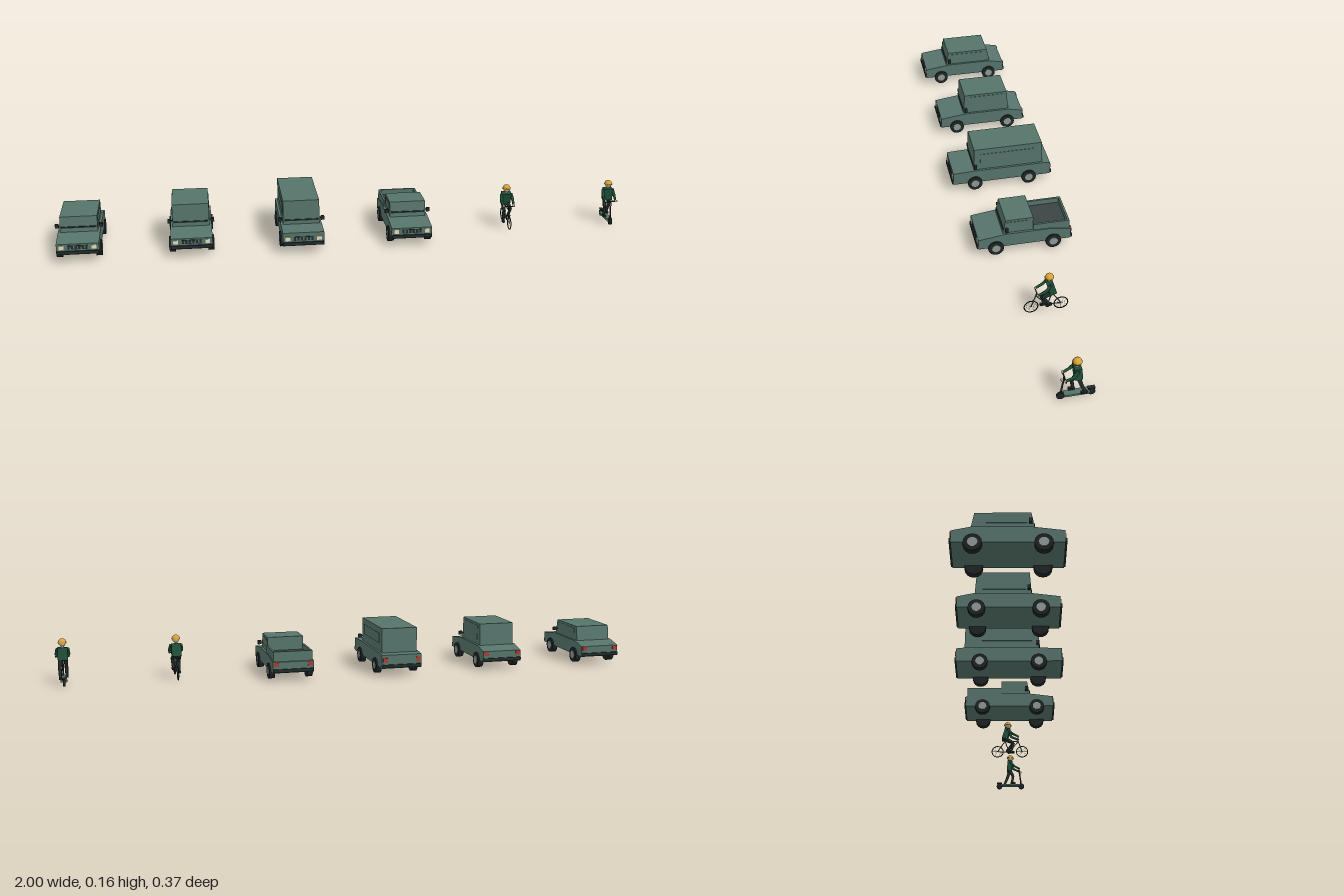
import * as THREE from 'three';

const mat = (name, color) => {
  const m = new THREE.MeshStandardMaterial({ color });
  m.name = name;
  return m;
};
const body = mat('bodyGreen', 0x56746b), trim = mat('darkTrim', 0x232c2b), tyreMat = mat('tyre', 0x1e2424);
const hubMat = mat('hubGrey', 0x8f9a95), bedMat = mat('bedLiner', 0x3a4543), lamp = mat('headlight', 0xe6dfbf);
const red = mat('tailLight', 0xb23a30), yellow = mat('helmetYellow', 0xd8a53a);
const skin = mat('skin', 0xd8b898), jacket = mat('jacketGreen', 0x1f5039);

function add(parent, name, geo, material, x = 0, y = 0, z = 0) {
  const m = new THREE.Mesh(geo, material);
  m.name = name;
  m.position.set(x, y, z);
  parent.add(m);
  return m;
}
const box = (p, name, m, w, h, d, x, y, z) => add(p, name, new THREE.BoxGeometry(w, h, d), m, x, y, z);

// Side outline given as [z, y] points, extruded across the width
function sideProfile(p, name, m, pts, width) {
  const shape = new THREE.Shape(pts.map(([z, y]) => new THREE.Vector2(z, y)));
  const g = new THREE.ExtrudeGeometry(shape, { depth: width, bevelEnabled: false });
  return add(p, name, g.rotateY(-Math.PI / 2).translate(width / 2, 0, 0), m);
}

// Round bar between two points
function bar(p, name, m, a, b, r, r2 = r) {
  const A = new THREE.Vector3(...a), B = new THREE.Vector3(...b);
  const mesh = add(p, name, new THREE.CylinderGeometry(r2, r, A.distanceTo(B), 8), m);
  mesh.position.copy(A).add(B).multiplyScalar(0.5);
  mesh.quaternion.setFromUnitVectors(new THREE.Vector3(0, 1, 0), B.sub(A).normalize());
  return mesh;
}

function vehicle(name, x, o) {
  const g = new THREE.Group();
  g.name = name;
  g.position.x = x;
  const L = o.half, [c0, c1] = o.cab, top = o.top, s = o.slope;
  // Lower body with gently falling hood and tail
  sideProfile(g, 'lowerBody', body,
    [[-L, 0.03], [L, 0.03], [L, o.nose], [c1, 0.08], [Math.min(c0, -0.09), 0.08], [-L, o.nose]], 0.142);
  // Cabin and windows
  sideProfile(g, 'cabin', body, [[c0, 0.079], [c1 + s, 0.079], [c1, top], [c0 + s * o.rearSlope, top]], 0.126);
  const wy0 = o.van ? 0.109 : 0.097, wy1 = o.van ? 0.144 : top - 0.008;
  for (const sx of [-1, 1]) {
    box(g, 'sideWindow', body, 0.002, wy1 - wy0, (c1 - c0) * 0.78, sx * 0.0635, (wy0 + wy1) / 2, (c0 + c1) / 2 + 0.006);
    box(g, 'mirrorArm', trim, 0.012, 0.003, 0.004, sx * 0.067, 0.098, c1 - 0.004);
    box(g, 'mirror', trim, 0.012, 0.013, 0.01, sx * 0.074, 0.098, c1 - 0.002);
    box(g, 'headlight', lamp, 0.016, 0.014, 0.004, sx * 0.054, 0.056, L + 0.001);
    box(g, 'tailLight', red, 0.016, 0.014, 0.004, sx * 0.059, 0.06, -L - 0.001);
    // Wheels
    for (const z of [-0.099, 0.1]) {
      add(g, 'tyre', new THREE.CylinderGeometry(0.027, 0.027, 0.02, 16).rotateZ(Math.PI / 2), tyreMat, sx * 0.066, 0.028, z);
      add(g, 'hub', new THREE.CylinderGeometry(0.015, 0.015, 0.002, 10).rotateZ(Math.PI / 2), hubMat, sx * 0.0765, 0.028, z);
    }
  }
  const strip = box(g, 'wiperStrip', trim, 0.118, 0.005, 0.004, 0, 0.095, c1 + s * 0.7 + 0.001);
  strip.name = 'wiperStrip';
  // Grille with upright bars
  box(g, 'grille', trim, 0.066, 0.014, 0.003, 0, 0.056, L + 0.0005);
  for (let i = -2; i <= 2; i++) box(g, 'grilleBar', body, 0.004, 0.011, 0.002, i * 0.012, 0.056, L + 0.002);
  // Bumpers
  for (const sz of [-1, 1]) box(g, 'bumper', trim, 0.14, 0.011, 0.008, 0, 0.038, sz * (L + 0.001));
  // Open cargo bed
  if (o.bed) {
    const zb = -L + 0.005, len = c0 - zb;
    for (const sx of [-1, 1]) box(g, 'bedSide', body, 0.007, 0.038, len, sx * 0.0645, 0.084, zb + len / 2);
    box(g, 'tailgate', body, 0.136, 0.038, 0.007, 0, 0.084, zb + 0.0035);
    box(g, 'bedFloor', bedMat, 0.122, 0.004, len - 0.007, 0, 0.082, zb + 0.0035 + len / 2);
  }
  return g;
}

// Helmeted person; all points are [x, y, z] for the right-hand limbs mirrored in x
function rider(g, hip, shoulder, hand, feet) {
  const [hy, hz] = hip, [sy, sz] = shoulder;
  const torso = box(g, 'torso', jacket, 0.033, Math.hypot(sy - hy, sz - hz) + 0.006, 0.022, 0, (hy + sy) / 2, (hz + sz) / 2);
  torso.rotation.x = Math.atan2(sz - hz, sy - hy);
  bar(g, 'neck', skin, [0, sy, sz], [0, sy + 0.01, sz], 0.005);
  add(g, 'head', new THREE.SphereGeometry(0.012, 14, 10), skin, 0, sy + 0.018, sz + 0.001);
  add(g, 'helmet', new THREE.SphereGeometry(0.0142, 16, 8, 0, Math.PI * 2, 0, Math.PI / 2), yellow, 0, sy + 0.0195, sz);
  add(g, 'helmetBrim', new THREE.CylinderGeometry(0.0148, 0.0148, 0.002, 16), yellow, 0, sy + 0.0195, sz + 0.001);
  [-1, 1].forEach((sx, i) => {
    const elbow = [sx * 0.021, (sy + hand[0]) / 2 - 0.006, (sz + hand[1]) / 2 - 0.003];
    bar(g, 'upperArm', jacket, [sx * 0.018, sy - 0.002, sz], elbow, 0.0052);
    bar(g, 'forearm', jacket, elbow, [sx * 0.018, ...hand], 0.0045, 0.004);
    add(g, 'hand', new THREE.SphereGeometry(0.0045, 8, 6), skin, sx * 0.018, ...hand);
    const [ky, kz, fy, fz] = feet[i];
    bar(g, 'thigh', trim, [sx * 0.009, hy, hz], [sx * 0.011, ky, kz], 0.0075, 0.006);
    bar(g, 'shin', trim, [sx * 0.011, ky, kz], [sx * 0.011, fy, fz], 0.006, 0.0045);
    box(g, 'shoe', tyreMat, 0.009, 0.007, 0.02, sx * 0.011, fy, fz + 0.004);
  });
}

function cyclist(x) {
  const g = new THREE.Group();
  g.name = 'cyclist';
  g.position.x = x;
  // Wheels with spokes
  for (const z of [-0.049, 0.049]) {
    add(g, 'bicycleTyre', new THREE.TorusGeometry(0.0225, 0.0018, 6, 28).rotateY(Math.PI / 2), tyreMat, 0, 0.0245, z);
    for (let i = 0; i < 6; i++) {
      const a = i * Math.PI / 6, c = Math.cos(a) * 0.0225, s = Math.sin(a) * 0.0225;
      bar(g, 'spoke', hubMat, [0, 0.0245 - s, z - c], [0, 0.0245 + s, z + c], 0.0003);
    }
  }
  // Frame
  const crank = [0, 0.024, -0.004], seat = [0, 0.07, -0.019], head = [0, 0.068, 0.034];
  const rear = [0, 0.0245, -0.049], front = [0, 0.0245, 0.049];
  for (const [a, b] of [[crank, seat], [seat, head], [crank, head], [crank, rear], [seat, rear], [head, front]])
    bar(g, 'frameTube', body, a, b, 0.0019);
  bar(g, 'handlebarStem', trim, head, [0, 0.082, 0.031], 0.0018);
  bar(g, 'handlebar', trim, [-0.022, 0.082, 0.032], [0.022, 0.082, 0.032], 0.0018);
  box(g, 'saddle', trim, 0.012, 0.004, 0.022, 0, 0.073, -0.02);
  add(g, 'chainring', new THREE.CylinderGeometry(0.007, 0.007, 0.002, 14).rotateZ(Math.PI / 2), trim, 0.004, 0.024, -0.004);
  bar(g, 'pedalAxle', trim, [-0.012, 0.024, -0.004], [0.012, 0.024, -0.004], 0.0015);
  rider(g, [0.08, -0.02], [0.118, -0.009], [0.084, 0.032], [[0.058, 0.014, 0.018, 0.004], [0.066, 0.014, 0.034, -0.01]]);
  return g;
}

function scooterRider(x) {
  const g = new THREE.Group();
  g.name = 'scooterRider';
  g.position.x = x;
  // Scooter
  for (const z of [-0.046, 0.048])
    add(g, 'scooterWheel', new THREE.CylinderGeometry(0.012, 0.012, 0.008, 14).rotateZ(Math.PI / 2), tyreMat, 0, 0.012, z);
  box(g, 'deck', body, 0.022, 0.007, 0.078, 0, 0.016, -0.001);
  box(g, 'rearMudguard', trim, 0.012, 0.003, 0.022, 0, 0.0265, -0.046);
  bar(g, 'steeringColumn', trim, [0, 0.014, 0.048], [0, 0.087, 0.038], 0.003);
  bar(g, 'handlebar', trim, [-0.025, 0.086, 0.038], [0.025, 0.086, 0.038], 0.0024);
  box(g, 'scooterLamp', lamp, 0.007, 0.007, 0.006, 0, 0.075, 0.045);
  rider(g, [0.084, -0.003], [0.121, 0], [0.087, 0.038], [[0.055, 0.012, 0.023, 0.008], [0.054, -0.012, 0.023, -0.025]]);
  return g;
}

export function createModel() {
  const model = new THREE.Group();
  model.name = 'trafficLineup';
  const base = { half: 0.16, nose: 0.068, rearSlope: 1, slope: 0.01, cab: [-0.105, 0.066], top: 0.131 };
  model.add(
    vehicle('sedan', -0.92, base),
    vehicle('utilityCar', -0.541, { ...base, slope: 0.006, top: 0.157 }),
    vehicle('van', -0.162, { ...base, half: 0.179, nose: 0.077, slope: 0.002, cab: [-0.151, 0.1], top: 0.165, van: true }),
    vehicle('pickup', 0.217, { ...base, rearSlope: 0, cab: [-0.03, 0.065], bed: true }),
    cyclist(0.595),
    scooterRider(0.973)
  );
  return model;
}
